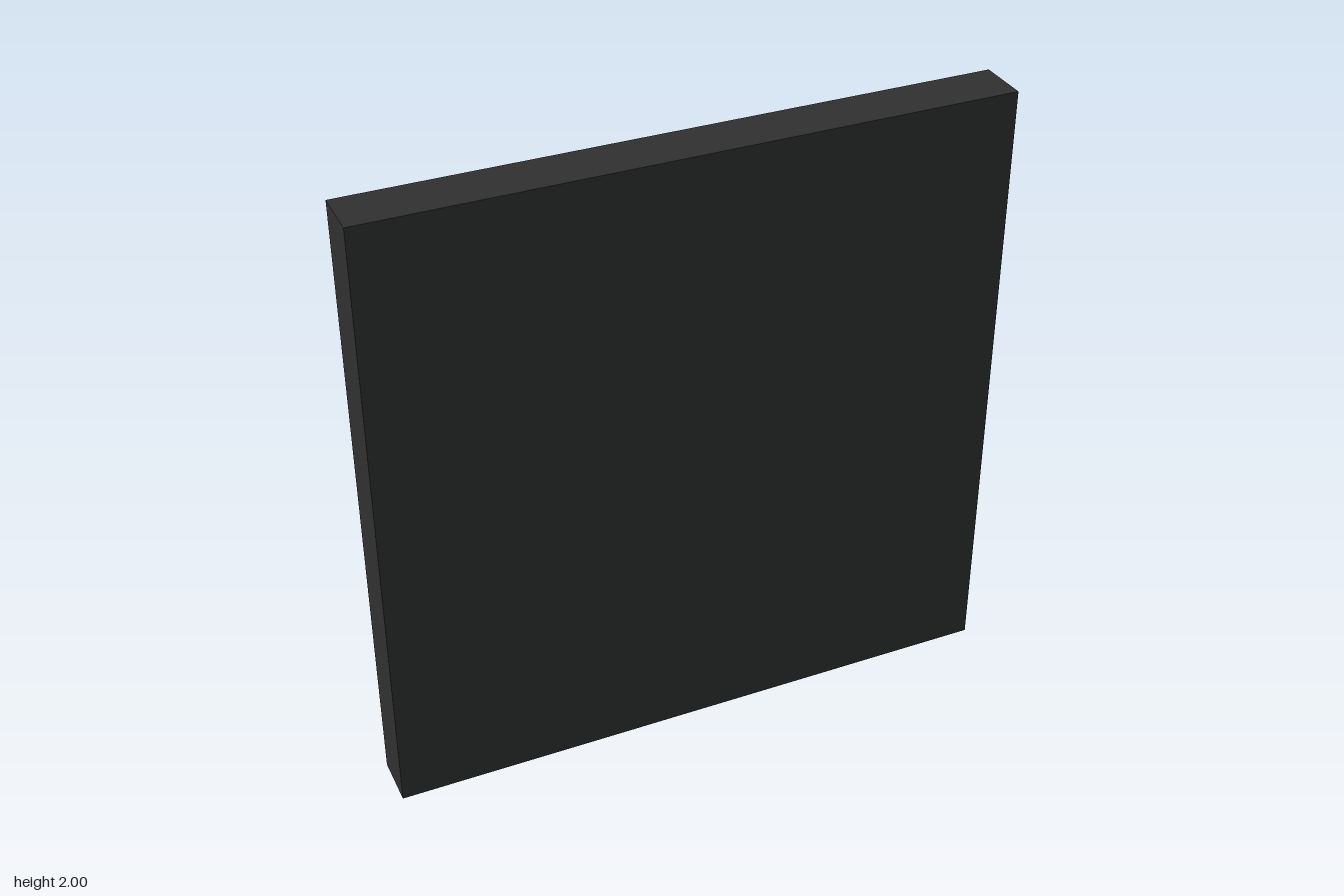
import * as THREE from 'three';

export function createModel() {
  const model = new THREE.Group();
  const panelMat = new THREE.MeshStandardMaterial({ color: 0x303132 });
  const lockMat = new THREE.MeshStandardMaterial({ color: 0x4f4438 });

  const add = (name, geometry, material, x, y, z, parent = model) => {
    const mesh = new THREE.Mesh(geometry, material);
    mesh.name = name;
    mesh.position.set(x, y, z);
    parent.add(mesh);
    return mesh;
  };

  // Large square slab
  add('panel', new THREE.BoxGeometry(2, 2, 0.165), panelMat, 0, 1, 0.05);

  // Lock on the back: square housing with a round recess and an upright grip
  const lock = new THREE.Group();
  lock.name = 'lock';
  lock.position.set(0, 0.47, -0.0325);
  model.add(lock);

  const size = 0.33, depth = 0.1, recess = 0.03, radius = 0.1;
  const baseDepth = depth - recess;
  add('lockBase', new THREE.BoxGeometry(size, size, baseDepth), lockMat, 0, 0, -baseDepth / 2, lock);

  // Front plate with the round opening
  const h = size / 2;
  const plate = new THREE.Shape([
    new THREE.Vector2(-h, -h), new THREE.Vector2(h, -h),
    new THREE.Vector2(h, h), new THREE.Vector2(-h, h),
  ]);
  plate.holes.push(new THREE.Path().absarc(0, 0, radius, 0, Math.PI * 2, true));
  const plateGeo = new THREE.ExtrudeGeometry(plate, { depth: recess, bevelEnabled: false, curveSegments: 32 });
  add('lockPlate', plateGeo, lockMat, 0, 0, -depth, lock);

  // Grip standing on the recess floor, flush with the plate
  add('lockGrip', new THREE.BoxGeometry(0.03, 0.09, recess), lockMat, 0, 0, -depth + recess / 2, lock);

  return model;
}
